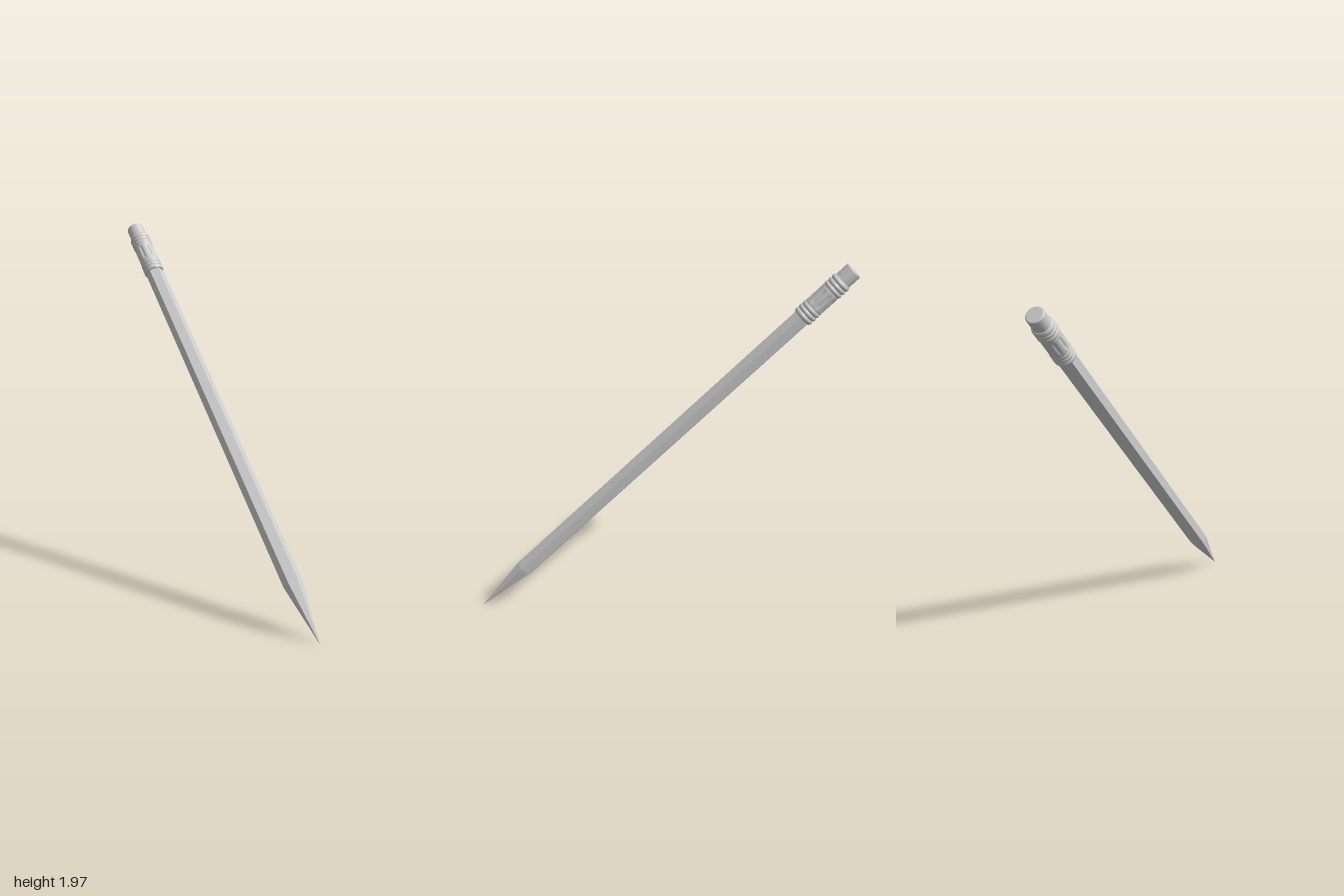
import * as THREE from 'three';

const material = new THREE.MeshStandardMaterial({ color: 0xcccccc });
const flatMaterial = new THREE.MeshStandardMaterial({ color: 0xcccccc, flatShading: true });

// Lathe from [radius, height] pairs running bottom to top
function lathe(name, profile, segments) {
  const points = profile.map(([r, y]) => new THREE.Vector2(r, y));
  const mesh = new THREE.Mesh(new THREE.LatheGeometry(points, segments), material);
  mesh.name = name;
  return mesh;
}

// Six-sided section between two heights along the pencil
function hexSection(name, r0, r1, y0, y1) {
  const geometry = new THREE.CylinderGeometry(r1, r0, y1 - y0, 6, 1, false, Math.PI / 4);
  geometry.translate(0, (y0 + y1) / 2, 0);
  const mesh = new THREE.Mesh(geometry, flatMaterial);
  mesh.name = name;
  return mesh;
}

// Metal sleeve: ringed at both ends, crimped with lengthwise dents between
function buildFerrule() {
  const base = 0.052, bead = 0.0055, pitch = 0.025;
  const profile = [[0.04, 2.435], [base, 2.435]];
  const addRings = (start) => {
    for (let ring = 0; ring < 3; ring++) {
      for (let i = 0; i <= 6; i++) {
        const y = start + pitch * (ring + i / 6);
        profile.push([base + bead * Math.sin(Math.PI * i / 6), y + 0.0002 * ring]);
      }
    }
  };
  addRings(2.437);
  for (let i = 0; i <= 14; i++) profile.push([base + 0.002, 2.516 + 0.118 * i / 14]);
  addRings(2.638);
  profile.push([base, 2.716], [0.044, 2.718]);

  const ferrule = lathe('ferrule', profile, 64);
  const pos = ferrule.geometry.attributes.position;
  for (let i = 0; i < pos.count; i++) {
    const x = pos.getX(i), y = pos.getY(i), z = pos.getZ(i);
    const along = THREE.MathUtils.clamp((y - 2.522) / 0.106, 0, 1);
    const around = Math.max(0, Math.cos(8 * Math.atan2(x, z) + Math.PI));
    const end = Math.min(1, 5 * Math.min(along, 1 - along));
    const scale = 1 - 0.12 * end * around ** 2;
    pos.setXYZ(i, x * scale, y, z * scale);
  }
  ferrule.geometry.computeVertexNormals();
  return ferrule;
}

export function createModel() {
  const pencil = new THREE.Group();
  pencil.name = 'pencil';

  // Sharpened end and shaft
  pencil.add(hexSection('leadPoint', 0.0005, 0.012, 0, 0.08));
  pencil.add(hexSection('sharpenedWood', 0.012, 0.051, 0.08, 0.34));
  pencil.add(hexSection('shaft', 0.051, 0.051, 0.34, 2.45));

  pencil.add(buildFerrule());

  // Eraser with a softly rounded rim
  const eraser = [[0.048, 2.69]];
  for (let i = 0; i <= 6; i++) {
    const a = (i / 6) * Math.PI / 2;
    eraser.push([0.04 + 0.008 * Math.cos(a), 2.788 + 0.008 * Math.sin(a)]);
  }
  eraser.push([0, 2.796]);
  pencil.add(lathe('eraser', eraser, 40));

  // Lean the pencil from its point at the lower front to the eraser at the upper back
  const point = new THREE.Vector3(-0.245, 0.003, 1);
  const top = new THREE.Vector3(0.192, 1.948, -0.967);
  const axis = top.sub(point).normalize();
  const side = new THREE.Vector3(axis.y, -axis.x, 0).normalize();
  const front = new THREE.Vector3().crossVectors(side, axis);
  pencil.quaternion.setFromRotationMatrix(new THREE.Matrix4().makeBasis(side, axis, front));
  pencil.position.copy(point);

  const model = new THREE.Group();
  model.add(pencil);
  return model;
}
